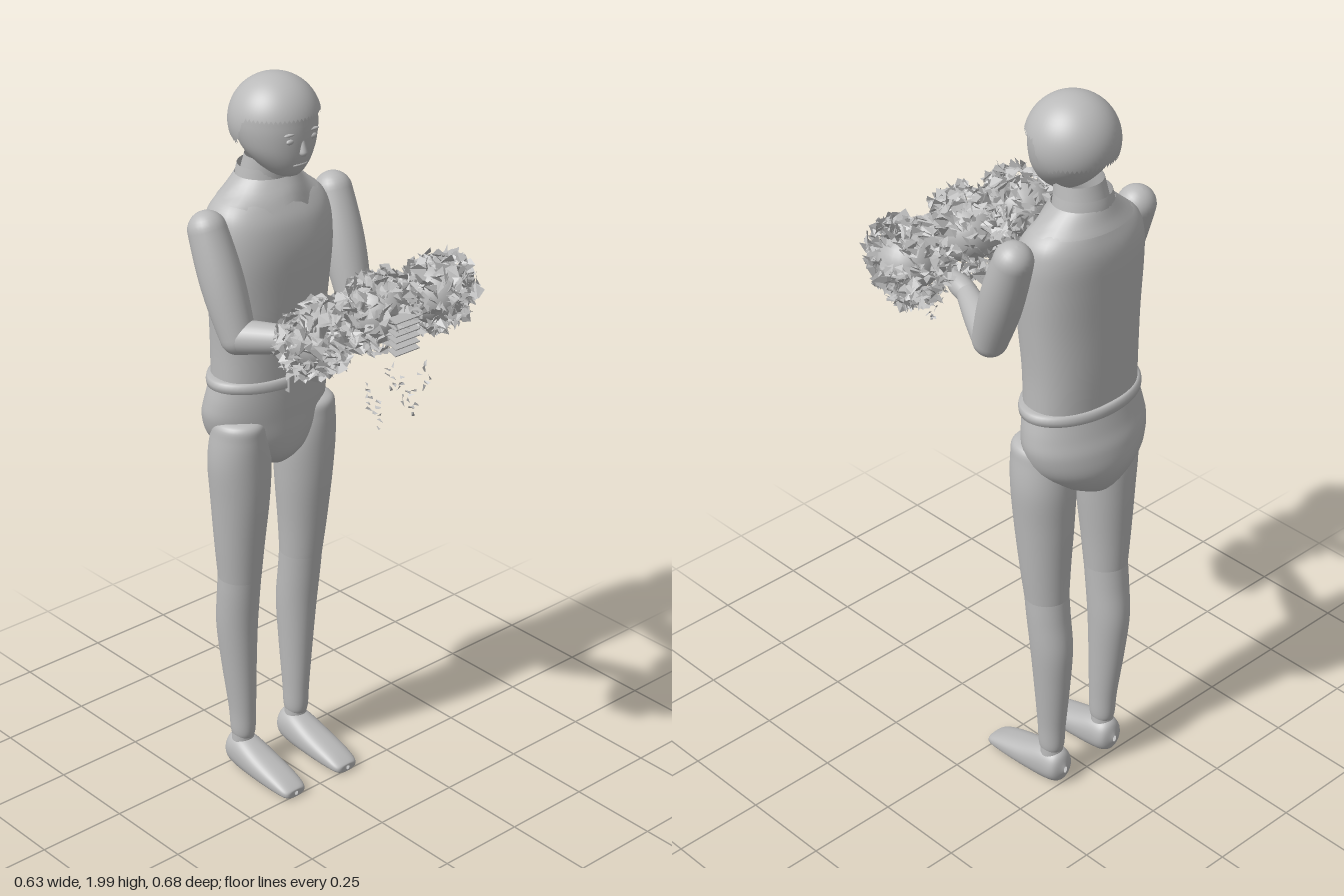
import * as THREE from 'three';
import { mergeGeometries } from 'three/addons/utils/BufferGeometryUtils.js';

const V = (x, y, z) => new THREE.Vector3(x, y, z);
const grey = new THREE.MeshStandardMaterial({ color: 0xbababa, side: THREE.DoubleSide });
grey.name = 'plain grey';

// Smooth skin through horizontal sections, bottom to top: [y, x, z, radiusX, radiusZ, squareness = 2]
function loft(sections, steps = 6, sides = 40) {
  const centres = new THREE.CatmullRomCurve3(sections.map(s => V(s[1], s[0], s[2])), false, 'catmullrom');
  const sizes = new THREE.CatmullRomCurve3(sections.map(s => V(s[3], s[4], s[5] ?? 2)), false, 'catmullrom');
  const rows = (sections.length - 1) * steps, pos = [], idx = [];
  for (let i = 0; i <= rows; i++) {
    const c = centres.getPoint(i / rows), r = sizes.getPoint(i / rows), e = 2 / r.z;
    for (let j = 0; j < sides; j++) {
      const a = j / sides * Math.PI * 2, cx = Math.cos(a), sz = Math.sin(a);
      pos.push(c.x + Math.sign(cx) * Math.abs(cx) ** e * r.x, c.y, c.z + Math.sign(sz) * Math.abs(sz) ** e * r.y);
      if (i < rows) {
        const p = i * sides + j, q = i * sides + (j + 1) % sides;
        idx.push(p, p + sides, q, q, p + sides, q + sides);
      }
    }
  }
  const g = new THREE.BufferGeometry();
  g.setAttribute('position', new THREE.Float32BufferAttribute(pos, 3));
  g.setIndex(idx);
  g.computeVertexNormals();
  return g;
}

// Round-ended limb from a to b; bulge widens the middle
function limb(a, b, ra, rb, bulge = 0) {
  const len = a.distanceTo(b), pts = [];
  for (let i = 0; i <= 8; i++) {
    const t = i / 8 * Math.PI / 2;
    pts.push(new THREE.Vector2(ra * Math.sin(t), -ra * Math.cos(t)));
  }
  for (let i = 1; i < 8; i++) {
    const t = i / 8;
    pts.push(new THREE.Vector2(ra + (rb - ra) * t + bulge * Math.sin(t * Math.PI), len * t));
  }
  for (let i = 0; i <= 8; i++) {
    const t = i / 8 * Math.PI / 2;
    pts.push(new THREE.Vector2(rb * Math.cos(t), len + rb * Math.sin(t)));
  }
  const g = new THREE.LatheGeometry(pts, 28);
  g.applyQuaternion(new THREE.Quaternion().setFromUnitVectors(V(0, 1, 0), b.clone().sub(a).normalize()));
  return g.translate(a.x, a.y, a.z);
}

// Skull cap whose lower edge is high over the brow and low at the back
function hairCap() {
  const r = 0.117, g = new THREE.SphereGeometry(r, 64, 20), p = g.attributes.position, n = g.attributes.normal;
  for (let i = 0; i < p.count; i++) {
    const phi = g.attributes.uv.getX(i) * Math.PI * 2, v = 1 - g.attributes.uv.getY(i), f = Math.sin(phi);
    const drop = THREE.MathUtils.smoothstep(-f, -0.2, 0.12);
    const sideburn = Math.exp(-(((f + 0.25) / 0.12) ** 2)) * 0.012;
    const th = Math.acos((0.022 - 0.062 * drop - sideburn) / r) * v;
    const d = V(-Math.cos(phi) * Math.sin(th), Math.cos(th), f * Math.sin(th));
    n.setXYZ(i, d.x, d.y, d.z);
    p.setXYZ(i, d.x * r, d.y * r, d.z * r);
  }
  return g.translate(0, 1.884, -0.168);
}

export function createModel() {
  const model = new THREE.Group();
  let seed = 7;
  const rnd = () => (seed = (seed * 16807) % 2147483647) / 2147483647;
  const add = (name, geometry) => {
    const m = new THREE.Mesh(geometry, grey);
    m.name = name;
    model.add(m);
    return m;
  };
  const blob = (x, y, z, rx, ry, rz) => new THREE.SphereGeometry(1, 24, 16).scale(rx, ry, rz).translate(x, y, z);

  // Head and face
  add('head', loft([[1.748, 0, -0.13, 0.004, 0.004], [1.755, 0, -0.13, 0.032, 0.04], [1.785, 0, -0.143, 0.066, 0.073],
    [1.83, 0, -0.158, 0.095, 0.097], [1.89, 0, -0.167, 0.107, 0.107], [1.94, 0, -0.168, 0.095, 0.095], [1.985, 0, -0.168, 0.03, 0.03]]));
  add('hair', hairCap());
  add('nose', limb(V(0, 1.855, -0.066), V(0, 1.823, -0.061), 0.006, 0.011));
  add('mouth', blob(0, 1.789, -0.073, 0.024, 0.005, 0.007));
  for (const s of [-1, 1]) {
    add('eye', blob(s * 0.037, 1.856, -0.067, 0.012, 0.007, 0.006));
    add('eyebrow', blob(s * 0.038, 1.874, -0.067, 0.018, 0.004, 0.006));
  }

  // Neck, collar and torso
  add('neck', loft([[1.66, 0, -0.205, 0.075, 0.068], [1.72, 0, -0.203, 0.072, 0.067], [1.79, 0, -0.19, 0.064, 0.06]]));
  add('collarStand', loft([[1.7, 0, -0.207, 0.085, 0.075], [1.735, 0, -0.207, 0.079, 0.072], [1.762, 0, -0.205, 0.074, 0.068]], 2));
  const collar = loft([[1.685, 0, -0.2, 0.146, 0.1], [1.71, 0, -0.2, 0.116, 0.088], [1.738, 0, -0.205, 0.082, 0.073]], 3, 32);
  const cp = collar.attributes.position;
  for (let i = 0; i < cp.count; i++) { // pull the front edge down into two points
    const low = (1.738 - cp.getY(i)) / 0.053, x = Math.abs(cp.getX(i));
    if (cp.getZ(i) > -0.2) cp.setY(i, cp.getY(i) - low * 0.03 * Math.exp(-(((x - 0.07) / 0.04) ** 2)));
  }
  collar.computeVertexNormals();
  add('collar', collar);
  add('torso', loft([[1.19, 0, -0.205, 0.163, 0.103, 2.3], [1.3, 0, -0.203, 0.163, 0.108, 2.3], [1.42, 0, -0.197, 0.17, 0.114, 2.3],
    [1.54, 0, -0.194, 0.178, 0.117, 2.4], [1.62, 0, -0.198, 0.177, 0.11, 2.4], [1.67, 0, -0.203, 0.16, 0.092, 2.3],
    [1.705, 0, -0.207, 0.11, 0.07], [1.72, 0, -0.207, 0.03, 0.03]]));

  // Belt and hips
  const belt = loft([[1.181, 0, -0.205, 0.165, 0.1], [1.184, 0, -0.205, 0.181, 0.116], [1.208, 0, -0.205, 0.18, 0.115],
    [1.211, 0, -0.205, 0.16, 0.1]], 2, 56);
  add('belt', belt);
  add('buckle', new THREE.BoxGeometry(0.062, 0.044, 0.016).translate(0, 1.196, -0.09));
  add('hips', loft([[0.925, 0, -0.215, 0.006, 0.02], [0.94, 0, -0.22, 0.04, 0.068], [0.975, 0, -0.22, 0.105, 0.102],
    [1.03, 0, -0.224, 0.163, 0.119], [1.09, 0, -0.221, 0.186, 0.119], [1.14, 0, -0.213, 0.184, 0.113], [1.2, 0, -0.205, 0.17, 0.106]]));

  for (const s of [-1, 1]) {
    // Legs
    add('thigh', loft([[0.62, s * 0.108, -0.2, 0.057, 0.06], [0.72, s * 0.11, -0.196, 0.066, 0.068], [0.86, s * 0.11, -0.191, 0.078, 0.079],
      [0.97, s * 0.112, -0.189, 0.084, 0.083], [1.05, s * 0.117, -0.183, 0.073, 0.077], [1.09, s * 0.12, -0.18, 0.06, 0.066],
      [1.104, s * 0.12, -0.18, 0.015, 0.02]]));
    add('shin', loft([[0.11, s * 0.096, -0.21, 0.01, 0.01], [0.118, s * 0.096, -0.21, 0.03, 0.034], [0.2, s * 0.097, -0.211, 0.035, 0.041],
      [0.34, s * 0.102, -0.216, 0.045, 0.052], [0.46, s * 0.106, -0.217, 0.053, 0.06], [0.56, s * 0.108, -0.207, 0.056, 0.06],
      [0.625, s * 0.108, -0.2, 0.057, 0.06]]));
    add('ankle', limb(V(s * 0.096, 0.08, -0.212), V(s * 0.096, 0.13, -0.21), 0.032, 0.03));
    // Foot: sections run from toe to heel, then tipped to lie along z
    const foot = loft([[-0.01, 0, 0.024, 0.006, 0.006], [-0.004, 0, 0.025, 0.034, 0.014, 2.5], [0.04, 0, 0.034, 0.044, 0.025, 2.5],
      [0.12, 0, 0.047, 0.048, 0.038, 2.4], [0.2, 0, 0.06, 0.045, 0.051, 2.3], [0.245, 0, 0.062, 0.037, 0.045],
      [0.262, 0, 0.06, 0.006, 0.01]]);
    foot.rotateX(-Math.PI / 2).scale(1, -1, 1);
    // restore the corner order after the mirror
    const ix = foot.index.array;
    for (let i = 0; i < ix.length; i += 3) [ix[i + 1], ix[i + 2]] = [ix[i + 2], ix[i + 1]];
    const fp = foot.attributes.position;
    for (let i = 0; i < fp.count; i++) fp.setY(i, Math.abs(fp.getY(i)));
    foot.computeVertexNormals();
    add('foot', foot.translate(s * 0.094, 0, 0));

    // Arms and hands
    const elbow = V(s * 0.195, 1.378, -0.088);
    add('upperArm', limb(V(s * 0.208, 1.638, -0.183), elbow, 0.05, 0.046, 0.008));
    add('forearm', limb(elbow, V(s * 0.117, 1.4, 0.075), 0.045, 0.029, 0.002));
    add('hand', limb(V(s * 0.112, 1.402, 0.085), V(s * 0.1, 1.412, 0.15), 0.028, 0.022, 0.004));
  }

  // Leafy bundle: three round cores wrapped in loose leaves
  const leaf = (w, h, place) => {
    const g = new THREE.BufferGeometry(), a = w / 2, b = h / 2, k = w * 0.2;
    g.setAttribute('position', new THREE.Float32BufferAttribute(
      [-a, -b, 0, a, -b * 0.7, k, a * 0.6, b, 0, -a, -b, 0, a * 0.6, b, 0, -a * 0.8, b * 0.7, k], 3));
    g.rotateX(rnd() * 6.3).rotateY(rnd() * 6.3).rotateZ(rnd() * 6.3);
    g.translate(place.x, place.y, place.z);
    g.computeVertexNormals();
    return g;
  };
  const leaves = [];
  for (const [x, y, z, r] of [[-0.2, 1.478, 0.215, 0.98], [0, 1.485, 0.205, 1.02], [0.2, 1.478, 0.205, 1]]) {
    add('bundleCore', new THREE.SphereGeometry(0.078, 24, 16).translate(x, y, z));
    for (let i = 0; i < 420; i++) {
      const u = rnd() * 2 - 1, a = rnd() * Math.PI * 2, q = Math.sqrt(1 - u * u), d = r * (0.8 + 0.2 * rnd());
      const p = V(0.102 * q * Math.cos(a), 0.125 * u, 0.095 * q * Math.sin(a)).multiplyScalar(d);
      p.applyAxisAngle(V(1, 0, 0), Math.PI / 4).add(V(x, y, z));
      const w = 0.022 + 0.018 * rnd();
      leaves.push(leaf(w, w * (0.6 + 0.4 * rnd()), p));
    }
  }
  add('leaves', mergeGeometries(leaves));

  // Slats across the front of the bundle
  for (let i = 0; i < 6; i++)
    add('slat', new THREE.BoxGeometry(0.08, 0.003, 0.03).rotateX(0.3).translate(0, 1.42 + i * 0.017, 0.305));

  // Small flakes falling in strands
  const flakes = [];
  for (const [x, y] of [[-0.085, 1.28], [-0.05, 1.22], [-0.01, 1.31], [0.03, 1.26], [0.06, 1.22], [0.1, 1.28]])
    for (let i = 0; i < 6; i++)
      flakes.push(leaf(0.018, 0.008, V(x + (i % 3 - 1) * 0.009, y + i * 0.011, 0.285 - i * 0.004 + (rnd() - 0.5) * 0.02)));
  add('fallingFlakes', mergeGeometries(flakes));
  return model;
}
